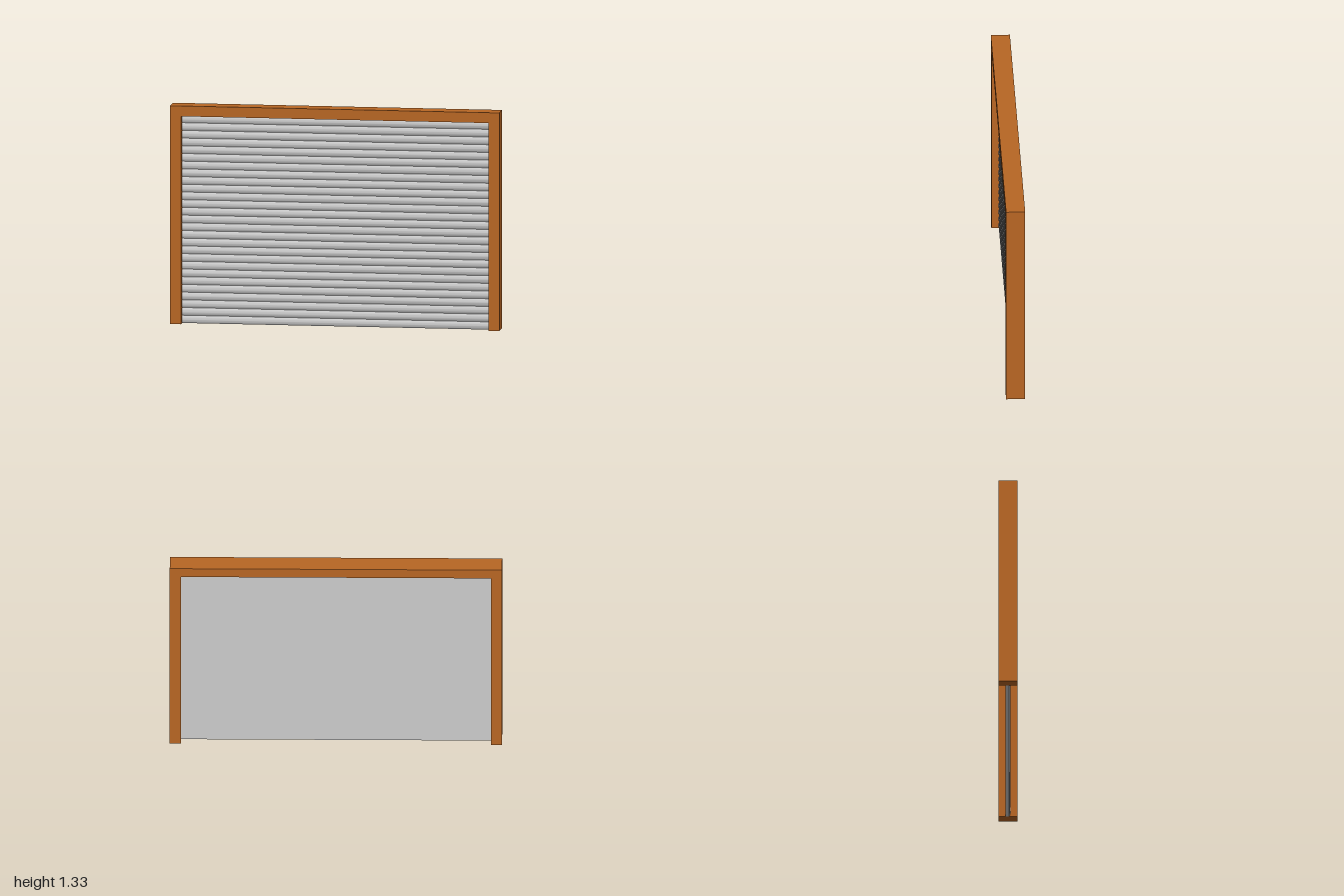
import * as THREE from 'three';
import { toCreasedNormals } from 'three/addons/utils/BufferGeometryUtils.js';

const W = 1, H = 1.33, DEPTH = 0.115;        // frame half width, height, depth
const INNER = 0.933, OPENING = 1.267;        // opening half width and height
const SLATS = 27, BACK = -0.014, SEAM = 0.006, BULGE = 0.008;

export function createModel() {
  const group = new THREE.Group();
  const frameMat = new THREE.MeshStandardMaterial({ color: 0xb86624 });
  const grey = new THREE.MeshStandardMaterial({ color: 0xcccccc });

  // Door frame: two posts and a lintel in one piece
  const outline = new THREE.Shape([
    [-W, 0], [-INNER, 0], [-INNER, OPENING], [INNER, OPENING],
    [INNER, 0], [W, 0], [W, H], [-W, H],
  ].map(([x, y]) => new THREE.Vector2(x, y)));
  const frameGeo = new THREE.ExtrudeGeometry(outline, { depth: DEPTH, bevelEnabled: false });
  frameGeo.translate(0, 0, -DEPTH / 2);
  const frame = new THREE.Mesh(frameGeo, frameMat);
  frame.name = 'doorFrame';
  group.add(frame);

  // Roller curtain: flat back, front face of shallow rounded slats
  const pitch = OPENING / SLATS, steps = 8;
  const profile = [new THREE.Vector2(BACK, OPENING), new THREE.Vector2(BACK, 0)];
  for (let i = 0; i <= SLATS * steps; i++) {
    const t = (i % steps) / steps;
    profile.push(new THREE.Vector2(SEAM + BULGE * 4 * t * (1 - t), (i / steps) * pitch));
  }
  let curtainGeo = new THREE.ExtrudeGeometry(new THREE.Shape(profile), { depth: 2 * INNER, bevelEnabled: false });
  curtainGeo.rotateY(-Math.PI / 2).translate(INNER, 0, 0);
  curtainGeo = toCreasedNormals(curtainGeo, 0.6);
  const curtain = new THREE.Mesh(curtainGeo, grey);
  curtain.name = 'rollerCurtain';
  group.add(curtain);

  return group;
}
